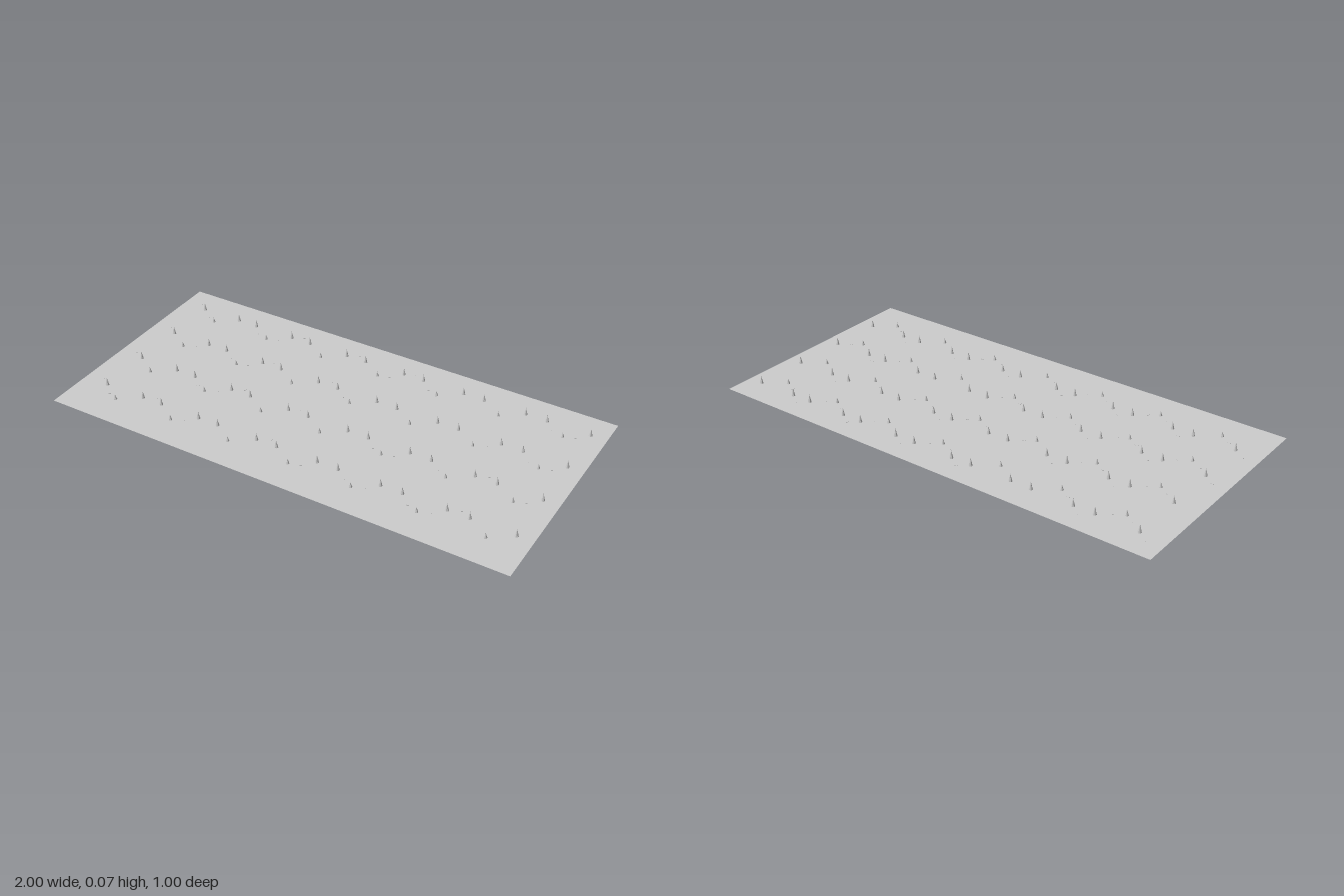
import * as THREE from 'three';

const PLATE_Y = 0.034;
const COLUMNS = 42;
const STEP = 1.864 / (COLUMNS - 1);
const ROW_START = [-0.412, -0.184, 0.044, 0.272];
// one wave: sideways offset and signed height of each spike
const WAVE = [
  { z: 0, h: -0.024 }, { z: 0.029, h: 0.034 }, { z: 0.07, h: -0.034 },
  { z: 0.092, h: 0.023 }, { z: 0.07, h: -0.034 }, { z: 0.029, h: 0.034 },
];

export function createModel() {
  const model = new THREE.Group();
  model.name = 'spikedPlate';
  const material = new THREE.MeshStandardMaterial({
    color: 0xcccccc, flatShading: true, side: THREE.DoubleSide,
  });

  // thin flat sheet
  const plate = new THREE.Mesh(new THREE.PlaneGeometry(2, 1).rotateX(-Math.PI / 2), material);
  plate.position.y = PLATE_Y;
  plate.name = 'plate';
  model.add(plate);

  // unit spike with its base at the origin, pointing up
  const spikeShape = new THREE.ConeGeometry(0.008, 1, 6).translate(0, 0.5, 0);

  // four wavy rows of spikes, alternately below and above the sheet
  ROW_START.forEach((z0, r) => {
    const row = new THREE.Group();
    row.name = `spikeRow${r + 1}`;
    for (let i = 0; i < COLUMNS; i++) {
      const { z, h } = WAVE[i % WAVE.length];
      const spike = new THREE.Mesh(spikeShape, material);
      spike.name = h > 0 ? 'upperSpike' : 'lowerSpike';
      spike.scale.y = Math.abs(h);
      if (h < 0) spike.rotation.x = Math.PI;
      // the base shows just through the far side of the sheet
      spike.position.set(-0.932 + i * STEP, PLATE_Y - Math.sign(h) * 0.0005, z0 + z);
      row.add(spike);
    }
    model.add(row);
  });
  return model;
}
